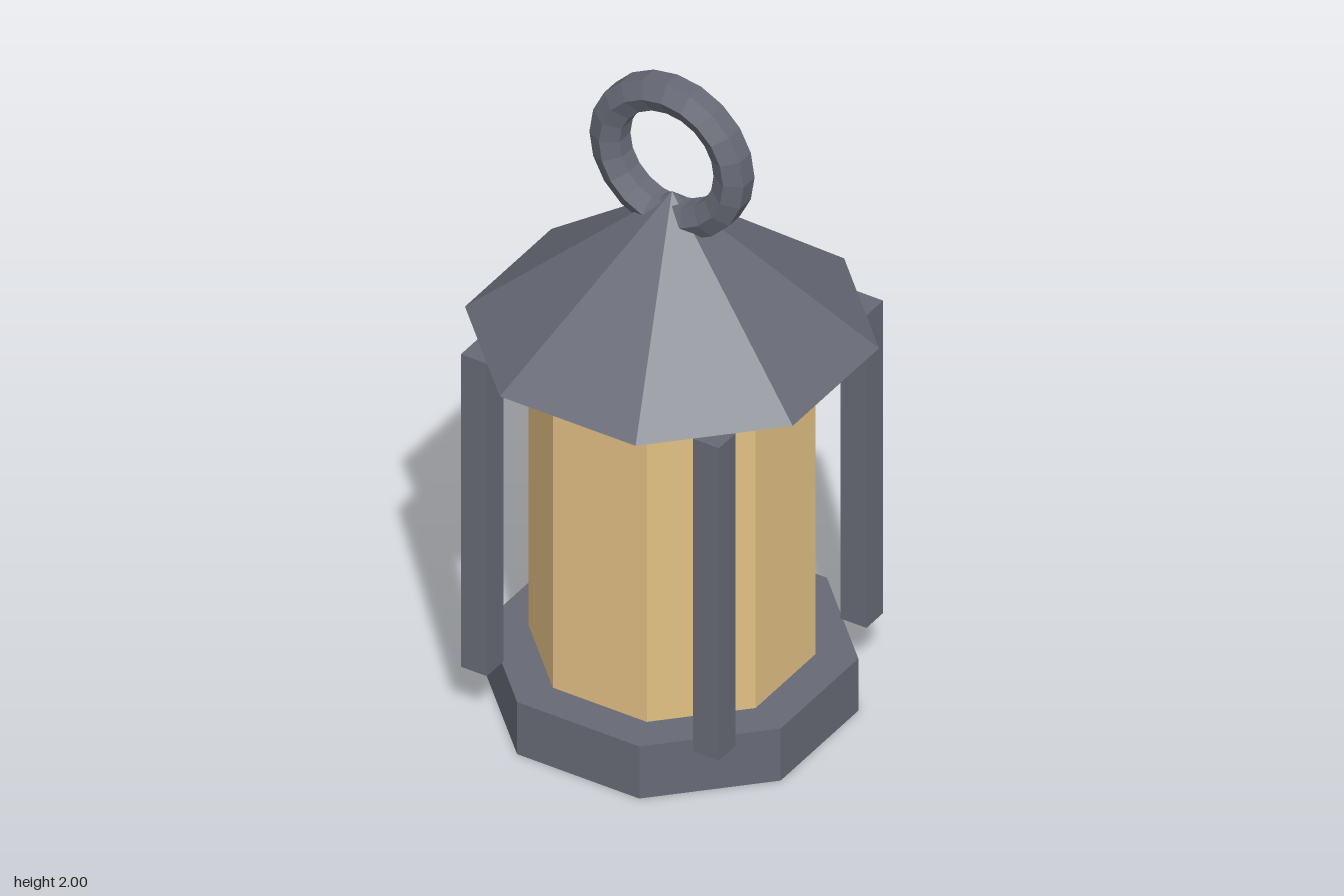
import * as THREE from 'three';

export function createModel() {
  const group = new THREE.Group();
  group.name = 'lantern';

  const metal = new THREE.MeshStandardMaterial({ color: 0x666975, flatShading: true });
  metal.name = 'dark grey metal';
  const glass = new THREE.MeshStandardMaterial({ color: 0xe2c084, flatShading: true });
  glass.name = 'amber glass';

  const add = (name, geometry, material) => {
    const mesh = new THREE.Mesh(geometry, material);
    mesh.name = name;
    group.add(mesh);
    return mesh;
  };

  // Octagonal prism or pyramid with flat sides on the axes, sized by apothem
  const octagon = (name, top, bottom, y0, y1, material) => {
    const k = 1 / Math.cos(Math.PI / 8);
    const geo = new THREE.CylinderGeometry(top * k, bottom * k, y1 - y0, 8);
    geo.rotateY(Math.PI / 8);
    add(name, geo, material).position.y = (y0 + y1) / 2;
  };

  octagon('base', 0.468, 0.468, 0, 0.17, metal);
  octagon('glassBody', 0.36, 0.36, 0.17, 1.19, glass);
  octagon('roof', 0, 0.52, 1.19, 1.635, metal);

  // Four corner posts
  for (const x of [-1, 1]) {
    for (const z of [-1, 1]) {
      const name = (z > 0 ? 'front' : 'back') + (x > 0 ? 'Left' : 'Right') + 'Post';
      add(name, new THREE.BoxGeometry(0.083, 1.02, 0.083), metal)
        .position.set(x * 0.368, 0.68, z * 0.368);
    }
  }

  // Hanging ring with a hexagonal section, flat on its outer rim
  const section = [];
  for (let i = 0; i <= 6; i++) {
    const a = -Math.PI / 6 + (i * Math.PI) / 3;
    section.push(new THREE.Vector2(0.197 + 0.055 * Math.cos(a), 0.055 * Math.sin(a)));
  }
  const ring = new THREE.LatheGeometry(section, 20);
  ring.rotateX(Math.PI / 2);
  add('hangingRing', ring, metal).position.y = 1.755;

  return group;
}
